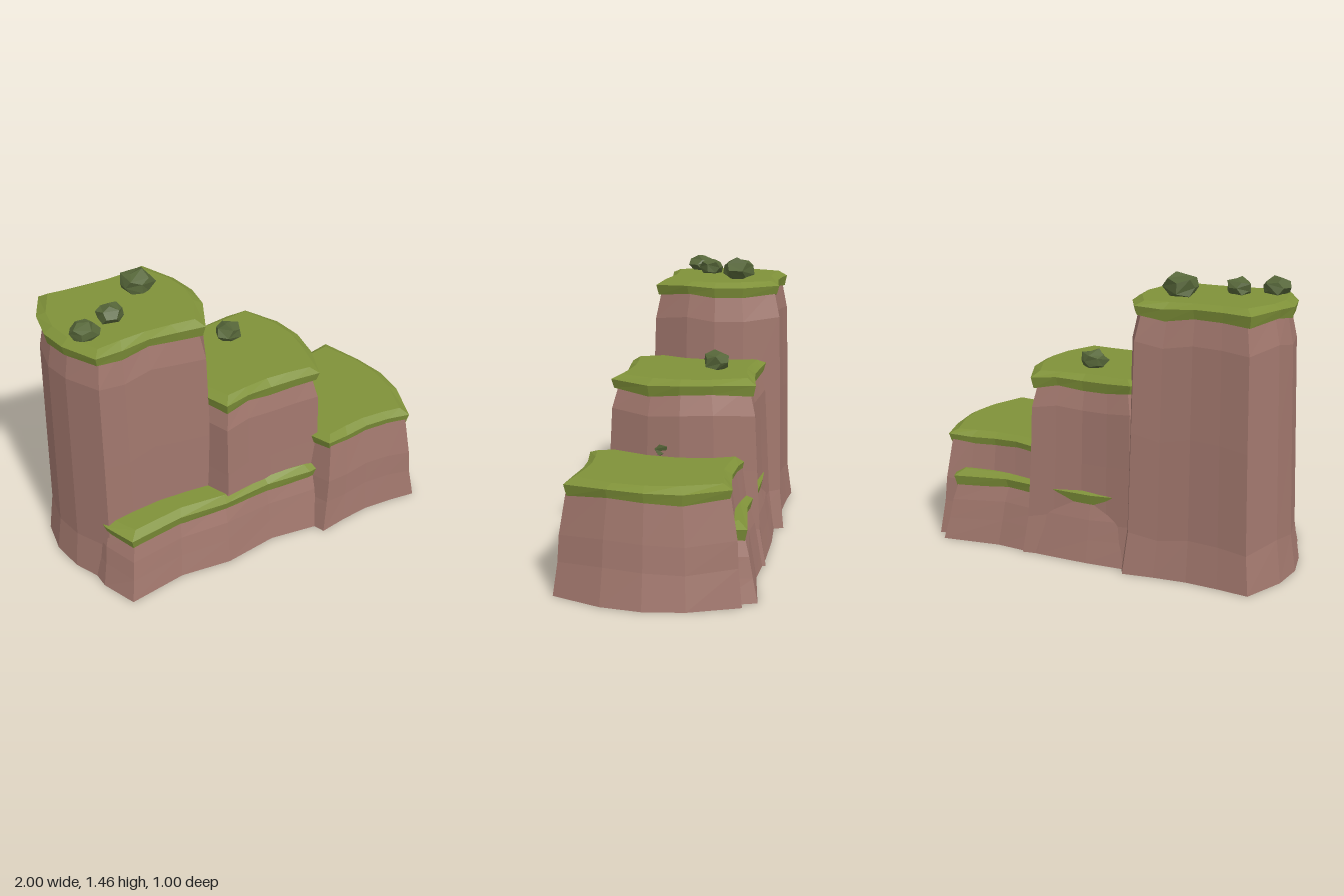
import * as THREE from 'three';

const paint = (name, color) => {
  const m = new THREE.MeshStandardMaterial({ color, flatShading: true });
  m.name = name;
  return m;
};

// Half outlines in unit size, counter-clockwise from above, starting at +x
const BLOCK = [
  [1, 0], [0.94, -0.45], [0.72, -1], [0.37, -0.95], [0, -0.92], [-0.37, -0.95], [-0.72, -1], [-0.94, -0.45],
  [-1, 0], [-0.94, 0.45], [-0.72, 1], [-0.37, 0.95], [0, 0.92], [0.37, 0.95], [0.72, 1], [0.94, 0.45],
];
const LEDGE = [
  [1, 0], [0.98, -0.55], [0.91, -1], [0.57, -0.92], [0.3, -0.97], [0, -0.99], [-0.3, -0.97], [-0.57, -0.92], [-0.91, -1], [-0.98, -0.55],
  [-1, 0], [-0.99, 0.6], [-0.91, 1], [-0.58, 0.91], [-0.29, 0.99], [0.02, 0.91], [0.3, 1], [0.6, 0.92], [0.91, 1], [0.98, 0.55],
];

// Joins rings of [y, half width, half depth, wave height] into a closed solid
function loft(outline, cx, cz, rings) {
  const n = outline.length, pos = [], idx = [];
  rings.forEach(([y, hx, hz, wave = 0]) => outline.forEach(([x, z], j) =>
    pos.push(cx + x * hx, y + wave * Math.sin(j * 2.4 + cx * 5), cz + z * hz)));
  for (let r = 0; r < rings.length - 1; r++) {
    for (let j = 0; j < n; j++) {
      const k = (j + 1) % n, a = r * n + j, b = r * n + k;
      idx.push(a, b, b + n, a, b + n, a + n);
    }
  }
  // End faces
  const last = (rings.length - 1) * n, low = rings.length * n;
  pos.push(cx, rings[0][0], cz, cx, rings[rings.length - 1][0], cz);
  for (let j = 0; j < n; j++) {
    const k = (j + 1) % n;
    idx.push(low, k, j, low + 1, last + j, last + k);
  }
  const g = new THREE.BufferGeometry();
  g.setAttribute('position', new THREE.Float32BufferAttribute(pos, 3));
  g.setIndex(idx);
  const flat = g.toNonIndexed();
  flat.computeVertexNormals();
  return flat;
}

// Faceted shrub, with vertices pushed in and out by a position rule
function shrubGeometry(seed) {
  const g = new THREE.DodecahedronGeometry(1);
  const p = g.attributes.position, v = new THREE.Vector3();
  for (let i = 0; i < p.count; i++) {
    v.fromBufferAttribute(p, i);
    v.multiplyScalar(1 + 0.13 * Math.sin(v.x * 5 + v.y * 7 + v.z * 9 + seed * 2));
    p.setXYZ(i, v.x, v.y, v.z);
  }
  g.computeVertexNormals();
  return g;
}

export function createModel() {
  const group = new THREE.Group();
  const rock = paint('rock', 0xa1776d);
  const grass = paint('grass', 0x7f9139);
  const leaf = paint('shrub', 0x566639);

  const add = (name, geometry, material) => {
    const mesh = new THREE.Mesh(geometry, material);
    mesh.name = name;
    group.add(mesh);
    return mesh;
  };

  // Rock steps: centre, flared rock rings, then the grass cap's top and half size
  const steps = [
    { name: 'tallStep', outline: BLOCK, cx: -0.553, cz: -0.12, top: 1.35, cap: [0.393, 0.33],
      rings: [[0, 0.447, 0.38], [0.2, 0.418, 0.355, 0.015], [0.7, 0.403, 0.346, 0.02], [1.15, 0.39, 0.333, 0.015], [1.31, 0.355, 0.3]] },
    { name: 'middleStep', outline: BLOCK, cx: 0.045, cz: -0.03, top: 0.945, cap: [0.375, 0.36],
      rings: [[0, 0.42, 0.425], [0.2, 0.395, 0.39, 0.015], [0.5, 0.378, 0.372, 0.015], [0.77, 0.372, 0.358, 0.01], [0.9, 0.335, 0.325]] },
    { name: 'lowStep', outline: BLOCK, cx: 0.58, cz: 0.05, top: 0.565, cap: [0.36, 0.393],
      rings: [[0, 0.42, 0.445], [0.17, 0.385, 0.425, 0.01], [0.3, 0.37, 0.418, 0.01], [0.53, 0.335, 0.38]] },
    { name: 'longLedge', outline: LEDGE, cx: -0.01, cz: -0.01, top: 0.37, cap: [0.865, 0.395],
      rings: [[0, 0.91, 0.45], [0.12, 0.885, 0.425, 0.01], [0.22, 0.87, 0.405, 0.01], [0.34, 0.835, 0.37]] },
  ];
  for (const { name, outline, cx, cz, top, cap: [w, d], rings } of steps) {
    add(name + 'Rock', loft(outline, cx, cz, rings), rock);
    add(name + 'Grass', loft(outline, cx, cz, [
      [top - 0.055, w - 0.06, d - 0.06],
      [top - 0.075, w - 0.012, d - 0.012, 0.013],
      [top - 0.025, w, d, 0.006],
      [top, w - 0.045, d - 0.045],
    ]), grass);
  }

  // Shrubs: x, base y, z, half width, half height
  const shrubs = [
    [-0.42, 1.34, -0.21, 0.088, 0.066],
    [-0.645, 1.34, -0.04, 0.065, 0.05],
    [-0.815, 1.34, 0.045, 0.076, 0.05],
    [0.07, 0.935, -0.17, 0.072, 0.055],
    [0.365, 0.56, 0.06, 0.055, 0.045],
  ];
  shrubs.forEach(([x, y, z, r, h], i) => {
    const shrub = add('shrub' + (i + 1), shrubGeometry(i), leaf);
    shrub.position.set(x, y + h * 0.85, z);
    shrub.scale.set(r, h, r);
    shrub.rotation.y = i * 1.3;
  });

  return group;
}
